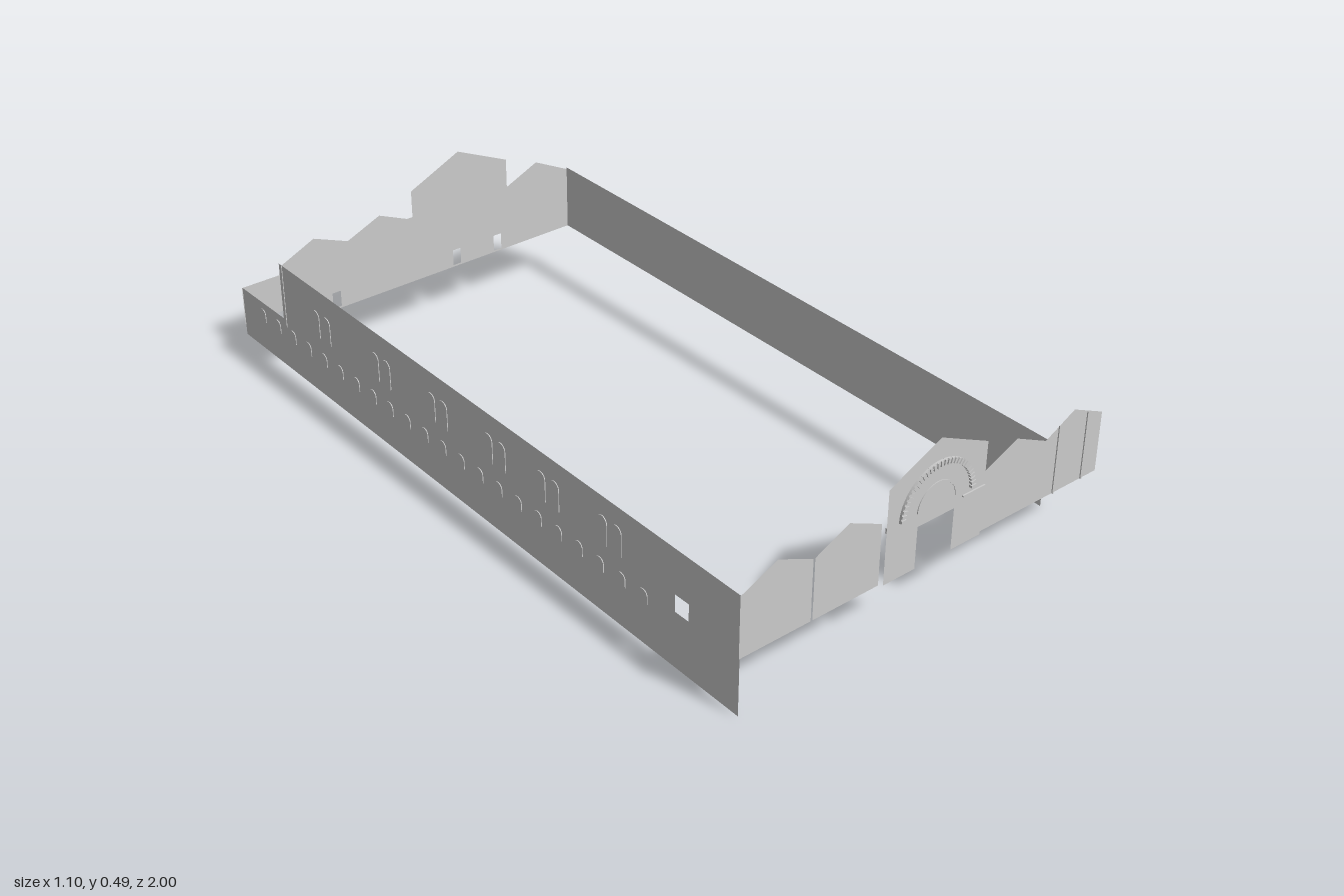
import * as THREE from 'three';

const material = new THREE.MeshStandardMaterial({ color: 0xcccccc, side: THREE.DoubleSide });

function outline(points) {
  return new THREE.Shape(points.map(([x, y]) => new THREE.Vector2(x, y)));
}

function rectangle(x0, y0, x1, y1) {
  return outline([[x0, y0], [x1, y0], [x1, y1], [x0, y1]]);
}

// Round-headed window outline standing on y
function archedPanel(x, y, w, h) {
  const s = new THREE.Shape();
  s.moveTo(x - w / 2, y);
  s.lineTo(x + w / 2, y);
  s.lineTo(x + w / 2, y + h - w / 2);
  s.absarc(x, y + h - w / 2, w / 2, 0, Math.PI, false);
  s.closePath();
  return s;
}

function halfRing(x, y, inner, outer) {
  const s = new THREE.Shape();
  s.absarc(x, y, outer, 0, Math.PI, false);
  s.absarc(x, y, inner, Math.PI, 0, true);
  s.closePath();
  return s;
}

// Paper-thin wall with optional rectangular openings
function sheet(name, points, openings = []) {
  const shape = outline(points);
  openings.forEach((o) => shape.holes.push(rectangle(...o)));
  const mesh = new THREE.Mesh(new THREE.ShapeGeometry(shape), material);
  mesh.name = name;
  return mesh;
}

// Shallow raised detail
function relief(name, shape, depth, z = 0) {
  const geometry = new THREE.ExtrudeGeometry(shape, { depth, bevelEnabled: false, curveSegments: 24 });
  const mesh = new THREE.Mesh(geometry, material);
  mesh.name = name;
  mesh.position.z = z;
  return mesh;
}

function part(name, ...meshes) {
  const group = new THREE.Group();
  group.name = name;
  group.add(...meshes);
  return group;
}

export function createModel() {
  const model = new THREE.Group();
  model.name = 'courtyardFacades';

  // Front facade: gabled sheets with narrow gaps between them
  const front = part('frontFacade',
    sheet('frontGableOuterRight', [[-0.55, 0.15], [-0.35, 0.15], [-0.35, 0.31], [-0.45, 0.355], [-0.55, 0.31]]),
    sheet('frontGableInnerRight', [[-0.345, 0.15], [-0.153, 0.15], [-0.153, 0.31], [-0.25, 0.355], [-0.345, 0.31]]),
    sheet('frontDoubleGableLeft', [[0.162, 0.15], [0.55, 0.15], [0.55, 0.31], [0.45, 0.355],
      [0.36, 0.308], [0.26, 0.355], [0.162, 0.31]]));
  for (const x of [0.402, 0.498]) {
    front.add(relief('pilaster', rectangle(x - 0.002, 0.15, x + 0.002, 0.332), 0.003));
  }
  front.position.z = 0.985;

  // Taller portal with a doorway and a deep arch moulding
  const portal = part('portal', sheet('portalWall',
    [[-0.145, 0.15], [-0.05, 0.15], [-0.05, 0.26], [0.062, 0.26], [0.062, 0.15], [0.155, 0.15],
      [0.155, 0.395], [0.005, 0.465], [-0.145, 0.395]]));
  portal.add(relief('archMoulding', halfRing(0.005, 0.295, 0.103, 0.114), 0.005));
  portal.add(relief('innerArch', halfRing(0.005, 0.295, 0.056, 0.06), 0.002));
  portal.add(relief('cornice', rectangle(0.085, 0.28, 0.155, 0.284), 0.004));
  portal.add(relief('backCornice', rectangle(-0.145, 0.284, 0.155, 0.298), 0.004, -0.004));
  const blockCount = 31;
  for (let i = 0; i < blockCount; i++) {
    const a = ((i + 0.5) / blockCount) * Math.PI;
    const block = new THREE.Mesh(new THREE.BoxGeometry(0.014, 0.006, 0.008), material);
    block.name = 'archBlock';
    block.position.set(0.005 + Math.cos(a) * 0.107, 0.295 + Math.sin(a) * 0.107, 0.004);
    block.rotation.z = a;
    portal.add(block);
  }
  portal.position.z = 0.992;

  // Rear facade: matching gables, tall centre, four low doors
  const rear = sheet('rearFacade',
    [[-0.55, 0.15], [0.365, 0.15], [0.365, 0.325], [0.26, 0.377], [0.16, 0.333], [0.16, 0.415],
      [0.005, 0.485], [-0.148, 0.415], [-0.148, 0.34], [-0.165, 0.34], [-0.25, 0.377],
      [-0.35, 0.335], [-0.45, 0.375], [-0.55, 0.33]],
    [-0.53, -0.395, -0.013, 0.122].map((x) => [x - 0.0125, 0.155, x + 0.0125, 0.2]));
  rear.position.z = -0.775;

  // Low wall standing behind the rear facade
  const annex = sheet('annexWall', [[-0.55, 0.06], [-0.14, 0.06], [-0.14, 0.17], [-0.55, 0.17]],
    [[-0.41, 0.063, -0.38, 0.12]]);
  annex.position.z = -1;

  // Long side walls, drawn along z and turned into place
  const rightSide = part('rightSideWall', sheet('rightWallSheet',
    [[-1, 0.03], [0.985, 0], [0.985, 0.31], [-0.79, 0.33], [-0.79, 0.17], [-1, 0.17]],
    [[0.78, 0.15, 0.825, 0.195]]));
  for (let i = 0; i < 22; i++) {
    const z = -0.9 + i * 0.075;
    rightSide.add(relief('lowerBlindArch', archedPanel(z, 0.115, 0.03, 0.035), 0.004, -0.002));
  }
  for (const z of [-0.6, -0.33, -0.09, 0.14, 0.34, 0.56]) {
    for (const side of [-1, 1]) {
      rightSide.add(relief('pairedWindow', archedPanel(z + side * 0.025, 0.19, 0.035, 0.075), 0.002));
    }
  }
  rightSide.rotation.y = -Math.PI / 2;
  rightSide.position.x = -0.548;

  const leftSide = sheet('leftSideWall', [[-0.775, 0.15], [0.985, 0.13], [0.985, 0.31], [-0.775, 0.33]]);
  leftSide.rotation.y = -Math.PI / 2;
  leftSide.position.x = 0.365;

  model.add(front, portal, rear, annex, rightSide, leftSide);
  return model;
}
